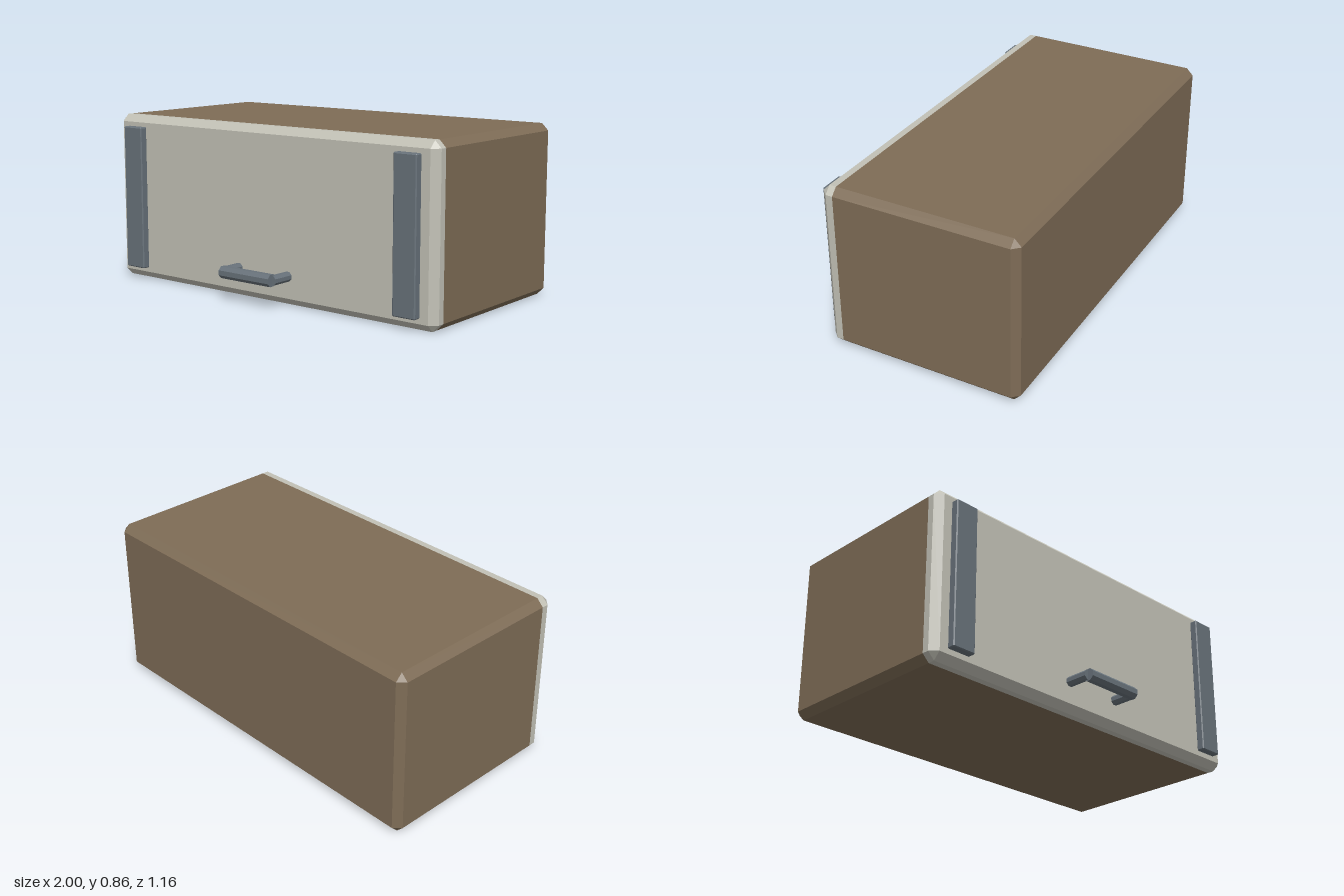
import * as THREE from 'three';
import { ConvexGeometry } from 'three/addons/geometries/ConvexGeometry.js';

const material = (color) => new THREE.MeshStandardMaterial({ color, flatShading: true });

// Convex hull of chamfered cross-sections, each [z, chamfer, inset]
function chamferedBlock(name, x0, x1, y0, y1, sections, mat) {
  const points = [];
  const cx = (x0 + x1) / 2, cy = (y0 + y1) / 2;
  for (const [z, chamfer, inset] of sections) {
    const w = (x1 - x0) / 2 - inset, h = (y1 - y0) / 2 - inset;
    for (const sx of [-1, 1]) for (const sy of [-1, 1]) {
      points.push(new THREE.Vector3(cx + sx * w, cy + sy * (h - chamfer), z));
      if (chamfer > 0) points.push(new THREE.Vector3(cx + sx * (w - chamfer), cy + sy * h, z));
    }
  }
  const mesh = new THREE.Mesh(new ConvexGeometry(points), mat);
  mesh.name = name;
  return mesh;
}

// Eight-sided bar with flats facing the axes
function bar(name, radius, length, mat) {
  const geometry = new THREE.CylinderGeometry(radius, radius, length, 8);
  geometry.rotateY(Math.PI / 8);
  const mesh = new THREE.Mesh(geometry, mat);
  mesh.name = name;
  return mesh;
}

export function createModel() {
  const group = new THREE.Group();
  group.name = 'wallCabinet';
  const wood = material(0x7e6c56);
  const panel = material(0xc2c1b6);
  const metal = material(0x68727a);
  const c = 0.035;

  // Cabinet body, bevelled at the back
  group.add(chamferedBlock('cabinetBody', -1, 1, 0, 0.857,
    [[-0.58, 0, c], [-0.58 + c, c, 0], [0.36, c, 0]], wood));

  // Door, bevelled at the front
  group.add(chamferedBlock('door', -1, 1, 0, 0.857,
    [[0.36, c, 0], [0.43 - c, c, 0], [0.43, 0, c]], panel));

  // Vertical straps on the door
  const e = 0.005;
  for (const [name, x] of [['leftStrap', 0.858], ['rightStrap', -0.858]]) {
    group.add(chamferedBlock(name, x - 0.0625, x + 0.0625, 0.06, 0.8,
      [[0.428, 0, e], [0.428 + e, e, 0], [0.47 - e, e, 0], [0.47, 0, e]], metal));
  }

  // Pull handle: two posts and a grip
  const handle = new THREE.Group();
  handle.name = 'handle';
  for (const [name, x] of [['leftPost', 0.157], ['rightPost', -0.157]]) {
    const post = bar(name, 0.025, 0.12, metal);
    post.rotation.x = Math.PI / 2;
    post.position.set(x, 0.145, 0.487);
    handle.add(post);
  }
  const grip = bar('grip', 0.0318, 0.315, metal);
  grip.rotation.z = Math.PI / 2;
  grip.position.set(0, 0.145, 0.548);
  handle.add(grip);
  group.add(handle);

  return group;
}
